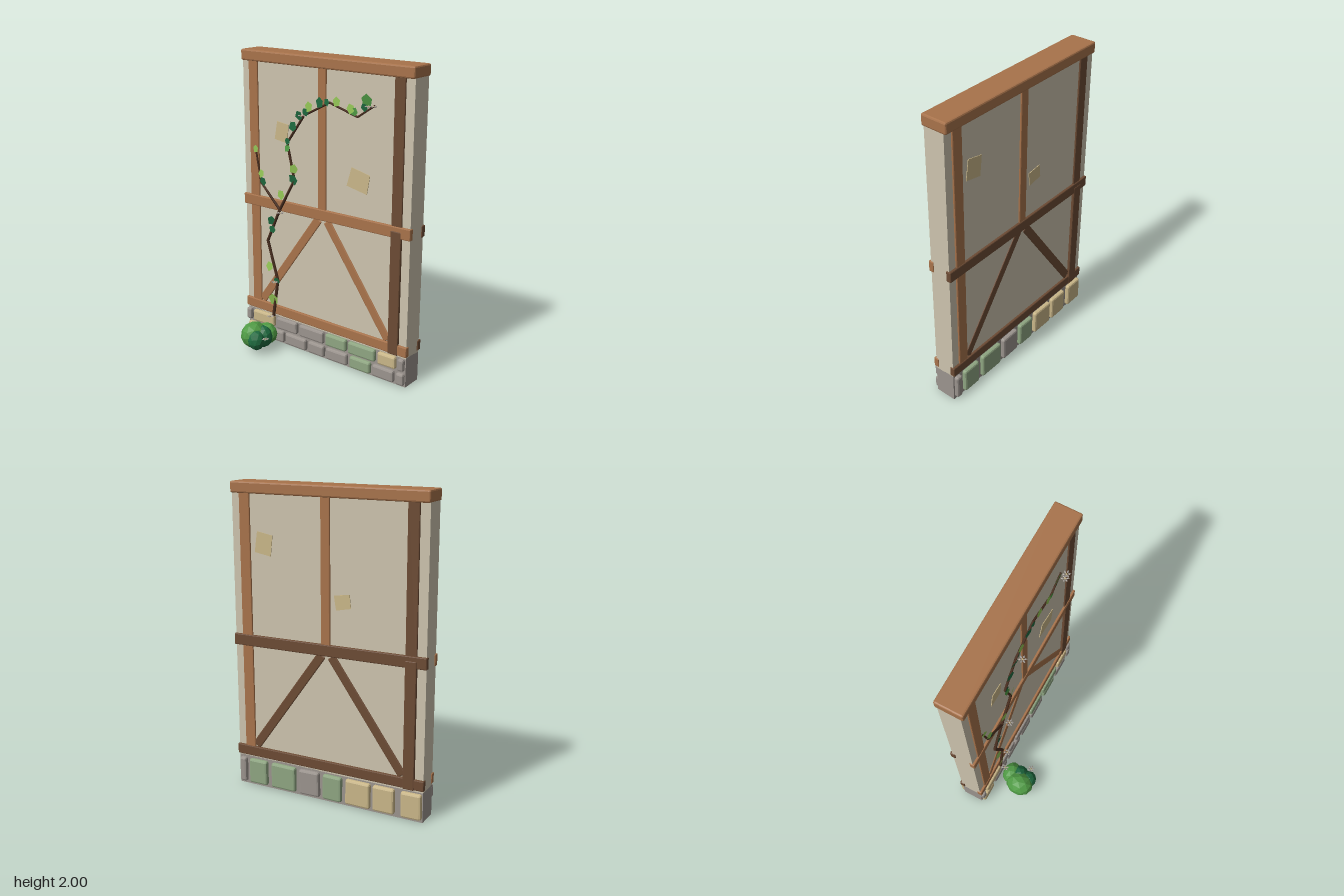
import * as THREE from 'three';
import { RoundedBoxGeometry } from 'three/addons/geometries/RoundedBoxGeometry.js';

const paint = (name, color, extra = {}) => {
  const m = new THREE.MeshStandardMaterial({ color, ...extra });
  m.name = name;
  return m;
};

export function createModel() {
  const two = { side: THREE.DoubleSide };
  const plaster = paint('plaster', 0xcdc4ae);
  const wood = paint('warm wood', 0xa8734b);
  const darkWood = paint('dark wood', 0x6c4b34);
  const grey = paint('grey stone', 0x9b948e);
  const tan = paint('tan stone', 0xcab789, two);
  const green = paint('mossy stone', 0x8fa682);
  const lightLeaf = paint('light leaf', 0x92c455, two);
  const midLeaf = paint('mid leaf', 0x4f9a44, two);
  const darkLeaf = paint('dark leaf', 0x1f6b40, two);
  const bark = paint('vine bark', 0x4a2f20);

  const model = new THREE.Group();
  model.name = 'timberWall';
  let seed = 7;
  const rand = () => (seed = (seed * 16807) % 2147483647) / 2147483647;

  const add = (parent, name, geo, mat, x = 0, y = 0, z = 0, turn = 0) => {
    const m = new THREE.Mesh(geo, mat);
    m.name = name;
    m.position.set(x, y, z);
    m.rotation.z = turn;
    parent.add(m);
    return m;
  };
  // Box with flat chamfered edges
  const chamfer = (w, h, d, r = 0.006) => {
    const g = new RoundedBoxGeometry(w, h, d, 1, r);
    g.computeVertexNormals();
    return g;
  };

  // Core wall, plinth and top beam
  const Z = -0.13;
  add(model, 'plasterWall', new THREE.BoxGeometry(1.32, 1.75, 0.14), plaster, 0, 1.07, Z);
  add(model, 'plinth', new THREE.BoxGeometry(1.32, 0.2, 0.14), grey, 0, 0.1, Z);
  add(model, 'topBeam', chamfer(1.326, 0.072, 0.176, 0.01), wood, 0, 1.964, Z);

  // Timber frame for one face, built facing +z around the wall's middle plane
  function frame(name, railMat, braceMat) {
    const g = new THREE.Group();
    g.name = name;
    g.position.z = Z;
    // Beam between two points, reaching out to depth "front"
    const beam = (part, x0, y0, x1, y1, width, front, mat) => {
      const len = Math.hypot(x1 - x0, y1 - y0), d = front - 0.05;
      add(g, part, chamfer(len, width, d), mat, (x0 + x1) / 2, (y0 + y1) / 2, front - d / 2,
        Math.atan2(y1 - y0, x1 - x0));
    };
    beam('midRail', -0.666, 0.998, 0.666, 1.008, 0.074, 0.085, railMat);
    beam('bottomRail', -0.666, 0.243, 0.666, 0.243, 0.068, 0.085, railMat);
    beam('leftPost', -0.568, 0.22, -0.568, 1.94, 0.075, 0.08, wood);
    beam('centrePost', -0.002, 1.0, -0.002, 1.94, 0.063, 0.08, wood);
    beam('rightPostUpper', 0.565, 1.0, 0.563, 1.94, 0.074, 0.08, darkWood);
    beam('rightPostLower', 0.566, 0.205, 0.566, 1.015, 0.074, 0.088, darkWood);
    beam('leftBrace', -0.525, 0.285, -0.03, 0.97, 0.06, 0.076, braceMat);
    beam('rightBrace', 0.52, 0.285, 0.035, 0.965, 0.06, 0.076, braceMat);
    model.add(g);
    return g;
  }
  frame('frontFrame', wood, wood);
  frame('backFrame', darkWood, darkWood).rotation.y = Math.PI;

  // Stone courses: [x start, x end, material]
  function course(name, y0, y1, z, stones) {
    const g = new THREE.Group();
    g.name = name;
    for (const [a, b, mat] of stones)
      add(g, 'stone', chamfer(b - a, y1 - y0, 0.04, 0.013), mat, (a + b) / 2, (y0 + y1) / 2, z,
        b - a > 0.08 ? (rand() - 0.5) * 0.05 : 0);
    model.add(g);
  }
  course('frontLowerStones', 0.013, 0.094, -0.053, [
    [-0.65, -0.52, tan], [-0.5, -0.325, grey], [-0.31, -0.13, grey], [-0.107, 0.025, grey],
    [0.045, 0.215, grey], [0.24, 0.4, green], [0.42, 0.58, grey], [0.6, 0.655, grey]]);
  course('frontUpperStones', 0.11, 0.194, -0.053, [
    [-0.662, -0.62, grey], [-0.6, -0.41, tan], [-0.385, -0.208, grey], [-0.182, 0.02, grey],
    [0.04, 0.207, green], [0.226, 0.435, green], [0.458, 0.592, tan], [0.61, 0.652, grey]]);
  course('backStones', 0.018, 0.186, -0.207, [
    [-0.655, -0.52, tan], [-0.475, -0.33, tan], [-0.31, -0.14, tan], [-0.11, 0.022, green],
    [0.05, 0.195, grey], [0.225, 0.405, green], [0.44, 0.575, green], [0.6, 0.65, grey]]);

  // Thin worn patches on the plaster
  function patch(name, corners, z, d) {
    const shape = new THREE.Shape(corners.map(([x, y]) => new THREE.Vector2(x, y)));
    add(model, name, new THREE.ExtrudeGeometry(shape, { depth: d, bevelEnabled: false }), tan, 0, 0, z);
  }
  patch('frontPatchLeft', [[-0.393, 1.442], [-0.287, 1.426], [-0.277, 1.548], [-0.37, 1.56]], -0.061, 0.005);
  patch('frontPatchRight', [[0.19, 1.23], [0.342, 1.198], [0.363, 1.32], [0.226, 1.352]], -0.061, 0.005);
  patch('backPatchLeft', [[0.385, 1.55], [0.5, 1.57], [0.48, 1.7], [0.37, 1.68]], -0.204, 0.005);
  patch('backPatchRight', [[-0.17, 1.28], [-0.07, 1.26], [-0.055, 1.35], [-0.16, 1.365]], -0.204, 0.005);

  // Climbing vine: tapered segments from point to point
  const vine = new THREE.Group();
  vine.name = 'vine';
  model.add(vine);
  function stem(name, pts, r0, r1) {
    const p = pts.map(([x, y]) => new THREE.Vector3(x, y, -0.037));
    const radius = i => r0 + (r1 - r0) * i / (p.length - 1);
    for (let i = 0; i + 1 < p.length; i++) {
      const dir = p[i + 1].clone().sub(p[i]), len = dir.length();
      const m = add(vine, name, new THREE.CylinderGeometry(radius(i + 1), radius(i), len + 0.006, 6), bark);
      m.position.copy(p[i]).addScaledVector(dir, 0.5);
      m.quaternion.setFromUnitVectors(new THREE.Vector3(0, 1, 0), dir.normalize());
    }
  }
  stem('mainStem', [[-0.41, 0.2], [-0.367, 0.47], [-0.45, 0.74], [-0.345, 0.97], [-0.213, 1.2],
    [-0.27, 1.437], [-0.13, 1.63], [0.07, 1.733], [0.28, 1.67], [0.4, 1.75]], 0.011, 0.006);
  stem('sideStem', [[-0.335, 0.97], [-0.5, 1.135], [-0.547, 1.375]], 0.009, 0.006);

  // Leaves: [x, y, turn, material, size]
  const leafShape = new THREE.Shape([[-0.4, -0.5], [0.3, -0.42], [0.52, 0.15], [0.05, 0.6], [-0.5, 0.25]]
    .map(([x, y]) => new THREE.Vector2(x, y)));
  const leafGeo = new THREE.ShapeGeometry(leafShape);
  for (const [x, y, turn, mat, s = 0.058] of [
    [-0.4, 0.325, 0.2, lightLeaf, 0.075], [-0.43, 0.56, 0.5, lightLeaf], [-0.368, 0.47, 0.8, darkLeaf, 0.045],
    [-0.4, 0.83, -0.2, darkLeaf, 0.05], [-0.405, 0.89, -0.1, darkLeaf, 0.06],
    [-0.32, 1.085, 0.8, lightLeaf], [-0.475, 1.15, 0.7, darkLeaf, 0.055], [-0.49, 1.2, 0.5, lightLeaf, 0.05],
    [-0.535, 1.36, 0.1, lightLeaf, 0.045], [-0.215, 1.205, 0.9, darkLeaf, 0.065], [-0.21, 1.275, -0.2, lightLeaf],
    [-0.262, 1.405, 0.1, midLeaf, 0.045], [-0.26, 1.45, 0.4, darkLeaf, 0.04], [-0.215, 1.55, -0.5, darkLeaf, 0.062],
    [-0.165, 1.625, -0.6, darkLeaf, 0.06], [-0.085, 1.69, 0.3, lightLeaf], [-0.11, 1.655, 0.8, darkLeaf, 0.045],
    [0, 1.725, 0.2, darkLeaf, 0.06], [0.055, 1.735, 0.9, darkLeaf, 0.04], [0.13, 1.745, 0.2, lightLeaf, 0.055],
    [0.235, 1.715, 0.5, lightLeaf, 0.055], [0.262, 1.7, -0.3, midLeaf, 0.05], [0.352, 1.775, 0.1, midLeaf, 0.075],
    [0.335, 1.735, 0.6, darkLeaf, 0.045]]) {
    const leaf = add(vine, 'leaf', leafGeo, mat, x, y, -0.027, turn);
    leaf.scale.setScalar(s);
    leaf.rotation.x = (rand() - 0.5) * 0.4;
    leaf.rotation.y = (rand() - 0.5) * 0.4;
  }

  // Small six-petalled blossoms lying level
  const petalGeo = new THREE.OctahedronGeometry(0.011).scale(1, 0.35, 0.6);
  for (const [x, y, z] of [[-0.41, 0.208, 0], [-0.365, 0.47, 0], [-0.305, 0.97, 0], [-0.12, 1.635, 0],
    [0.383, 1.75, 0], [0.41, 1.752, -0.005], [-0.315, 0.12, 0.155]]) {
    const blossom = new THREE.Group();
    blossom.name = 'blossom';
    blossom.position.set(x, y, z);
    for (let i = 0; i < 6; i++) {
      const a = i * Math.PI / 3;
      add(blossom, 'petal', petalGeo, grey, Math.cos(a) * 0.016, 0, Math.sin(a) * 0.016).rotation.y = -a;
    }
    add(blossom, 'blossomCentre', new THREE.OctahedronGeometry(0.008), tan);
    model.add(blossom);
  }

  // Faceted bush at the foot of the vine
  const bush = new THREE.Group();
  bush.name = 'bush';
  model.add(bush);
  for (const [x, y, z, rx, ry, rz, mat] of [
    [-0.443, 0.108, 0.13, 0.083, 0.09, 0.098, midLeaf],
    [-0.385, 0.1, 0.1, 0.066, 0.078, 0.06, darkLeaf],
    [-0.4, 0.1, 0.045, 0.078, 0.075, 0.062, midLeaf],
    [-0.388, 0.095, 0.17, 0.062, 0.07, 0.056, darkLeaf]]) {
    const geo = new THREE.IcosahedronGeometry(1, 1).rotateY(rand() * 3).rotateX(rand()).scale(rx, ry, rz);
    geo.computeVertexNormals();
    add(bush, 'bushClump', geo, mat, x, y, z);
  }
  return model;
}
